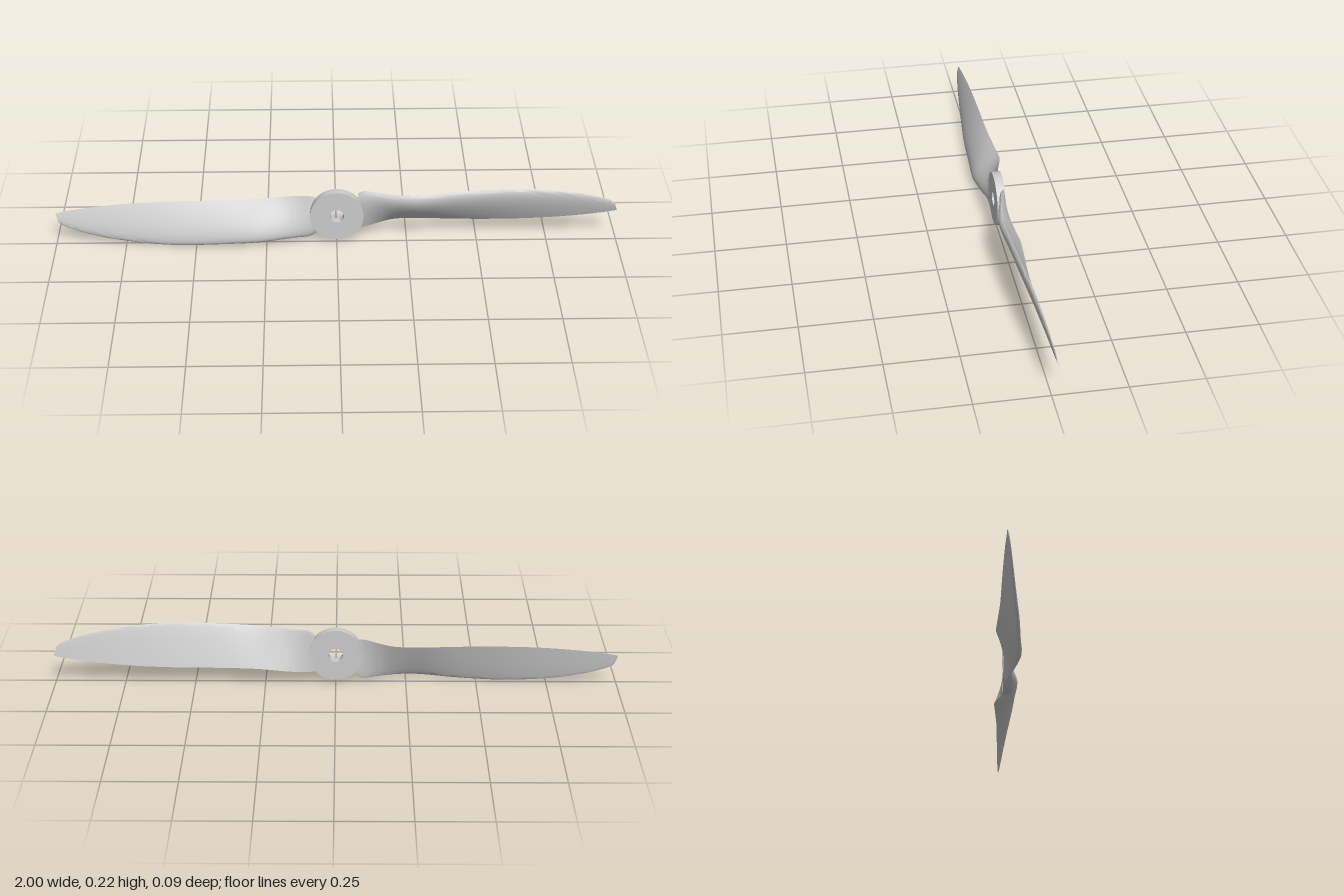
import * as THREE from 'three';
import { toCreasedNormals } from 'three/addons/utils/BufferGeometryUtils.js';

const HUB_Y = 0.112;

// blade stations: x, leading y, leading z, trailing y, trailing z, thickness ratio
const STATIONS = [
  [0.075, 0.192, -0.014, 0.050, -0.021, 0.12],
  [0.095, 0.203, -0.010, 0.048, -0.023, 0.13],
  [0.15, 0.203, 0.004, 0.056, -0.038, 0.15],
  [0.20, 0.203, 0.017, 0.064, -0.047, 0.17],
  [0.28, 0.206, 0.030, 0.070, -0.044, 0.18],
  [0.42, 0.216, 0.024, 0.070, -0.036, 0.15],
  [0.57, 0.222, 0.017, 0.070, -0.033, 0.13],
  [0.72, 0.214, 0.006, 0.075, -0.030, 0.11],
  [0.85, 0.194, -0.004, 0.086, -0.027, 0.10],
  [0.94, 0.169, -0.011, 0.098, -0.024, 0.09],
  [0.98, 0.152, -0.015, 0.105, -0.023, 0.09],
  [0.99, 0.142, -0.016, 0.109, -0.022, 0.09],
];

// closed aerofoil outline as [chord fraction, offset] for unit thickness ratio
function aerofoil(n) {
  const half = s => 5 * (0.2969 * Math.sqrt(s) - 0.126 * s - 0.3516 * s * s + 0.2843 * s ** 3 - 0.1036 * s ** 4);
  const pts = [];
  for (let i = 0; i < 2 * n; i++) {
    const a = (i / n) * Math.PI;
    const s = (1 + Math.cos(a)) / 2;
    pts.push([s, half(s) * (i <= n ? 1.75 : -0.25)]);
  }
  return pts;
}

// loft the aerofoil between the leading and trailing rails
function bladeGeometry() {
  const rail = (k, tipX) => new THREE.CatmullRomCurve3(STATIONS.map((s, i) =>
    new THREE.Vector3(i === STATIONS.length - 1 ? tipX : s[0], s[k], s[k + 1])));
  const lead = rail(1, 0.99), trail = rail(3, 1.0);
  const outline = aerofoil(16), m = outline.length, rows = 66;
  const pos = [], idx = [];
  for (let r = 0; r <= rows; r++) {
    const t = r / rows, f = t * (STATIONS.length - 1), i = Math.min(Math.floor(f), STATIONS.length - 2);
    const thick = THREE.MathUtils.lerp(STATIONS[i][5], STATIONS[i + 1][5], f - i);
    const a = lead.getPoint(t), c = trail.getPoint(t).sub(a);
    for (const [s, h] of outline) {
      pos.push(a.x + c.x * s, a.y + c.y * s + c.z * h * thick, a.z + c.z * s - c.y * h * thick);
    }
  }
  for (let r = 0; r < rows; r++) {
    for (let j = 0; j < m; j++) {
      const a = r * m + j, b = r * m + (j + 1) % m;
      idx.push(a, a + m, b, b, a + m, b + m);
    }
  }
  // root and tip caps, stitched across the thickness
  const last = rows * m;
  for (let j = 0; j < m / 2; j++) {
    const p = j, q = j + 1, u = (m - j) % m, v = m - j - 1;
    idx.push(p, q, v, p, v, u);
    idx.push(last + p, last + v, last + q, last + p, last + u, last + v);
  }
  const g = new THREE.BufferGeometry();
  g.setAttribute('position', new THREE.Float32BufferAttribute(pos, 3));
  g.setIndex(idx);
  return toCreasedNormals(g, 0.7);
}

export function createModel() {
  const model = new THREE.Group();
  model.name = 'propeller';
  const material = new THREE.MeshStandardMaterial({ color: 0xcccccc, side: THREE.DoubleSide });

  // hub disc with shaft hole
  const disc = new THREE.Shape().absarc(0, 0, 0.095, 0, Math.PI * 2, false);
  disc.holes.push(new THREE.Path().absarc(0, 0, 0.025, 0, Math.PI * 2, true));
  const hubGeometry = new THREE.ExtrudeGeometry(disc, { depth: 0.031, bevelEnabled: false, curveSegments: 48 });
  const hub = new THREE.Mesh(toCreasedNormals(hubGeometry, 0.6), material);
  hub.name = 'hub';
  hub.position.set(0, HUB_Y, -0.02);
  model.add(hub);

  // two twisted blades, half a turn apart
  const geometry = bladeGeometry().translate(0, -HUB_Y, 0);
  ['leftBlade', 'rightBlade'].forEach((name, i) => {
    const blade = new THREE.Mesh(geometry, material);
    blade.name = name;
    blade.position.y = HUB_Y;
    blade.rotation.z = i * Math.PI;
    model.add(blade);
  });
  return model;
}
